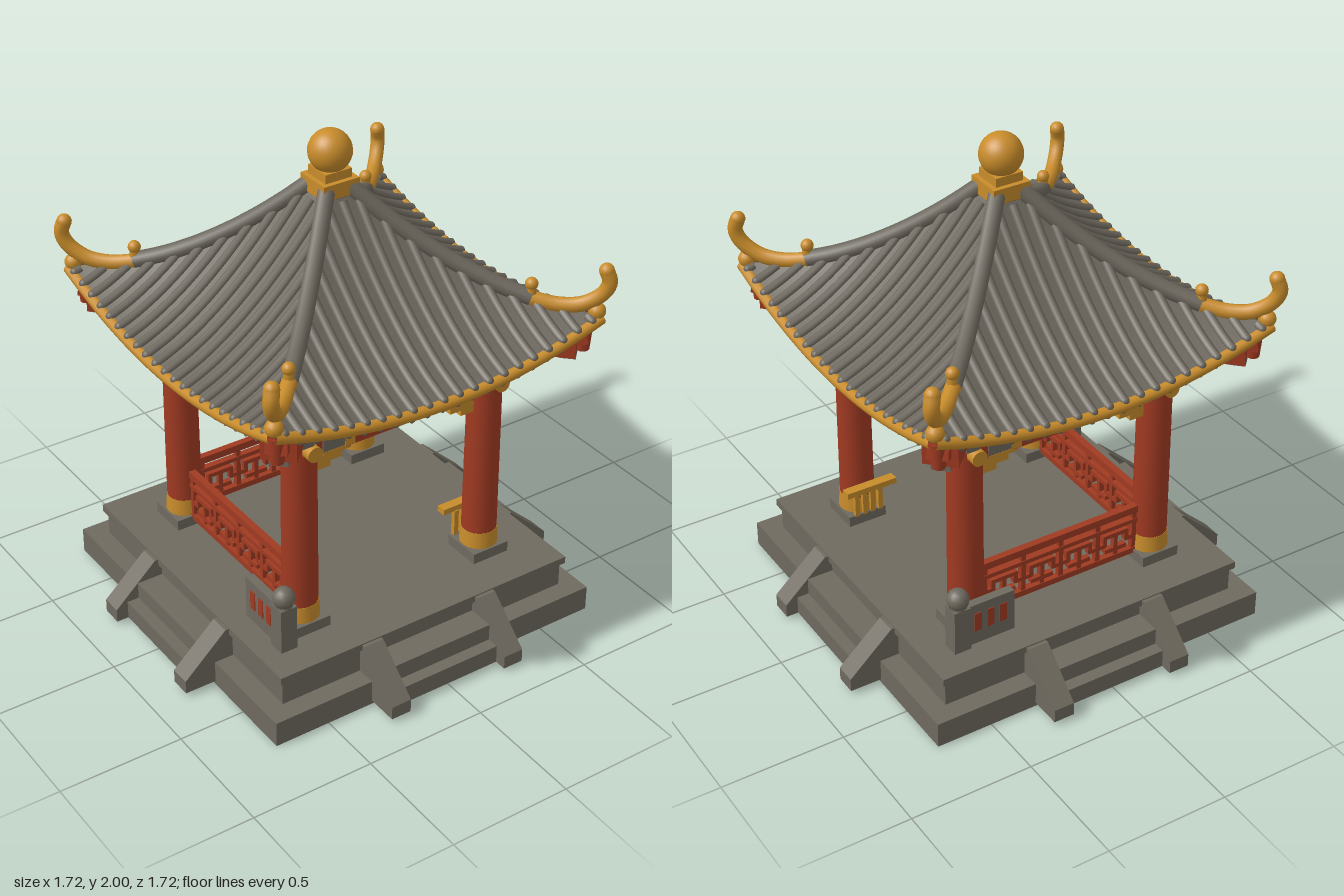
import * as THREE from 'three';

const mat = (name, color, side = THREE.FrontSide) => {
  const m = new THREE.MeshStandardMaterial({ color, side });
  m.name = name;
  return m;
};
const stone = mat('stone grey', 0x6f6a5f);
const tile = mat('roof tile grey', 0x6c675d, THREE.DoubleSide);
const red = mat('lacquer red', 0xa03a22, THREE.DoubleSide);
const gold = mat('gold', 0xc88c2b);

const add = (parent, name, geo, m, x = 0, y = 0, z = 0) => {
  const mesh = new THREE.Mesh(geo, m);
  mesh.name = name;
  mesh.position.set(x, y, z);
  parent.add(mesh);
  return mesh;
};
const box = (p, name, m, w, h, d, x, y, z) => add(p, name, new THREE.BoxGeometry(w, h, d), m, x, y, z);
const cyl = (p, name, m, r0, r1, h, x, y, z, n = 20) => add(p, name, new THREE.CylinderGeometry(r0, r1, h, n), m, x, y, z);
const ball = (p, name, m, r, x, y, z) => add(p, name, new THREE.SphereGeometry(r, 14, 10), m, x, y, z);
const tube = (p, name, m, pts, r, n = 16, sides = 8) => add(p, name,
  new THREE.TubeGeometry(new THREE.CatmullRomCurve3(pts.map(a => new THREE.Vector3(...a))), n, r, sides), m);
const group = (p, name, angle = 0) => {
  const g = new THREE.Group();
  g.name = name;
  g.rotation.y = angle;
  p.add(g);
  return g;
};

// Smooth surface from a rule (u, v) -> point
function surface(nu, nv, fn) {
  const pos = [], idx = [];
  for (let j = 0; j <= nv; j++) for (let i = 0; i <= nu; i++) pos.push(...fn(i / nu * 2 - 1, j / nv));
  for (let j = 0; j < nv; j++) for (let i = 0; i < nu; i++) {
    const a = j * (nu + 1) + i, b = a + nu + 1;
    idx.push(a, b, a + 1, a + 1, b, b + 1);
  }
  const g = new THREE.BufferGeometry();
  g.setAttribute('position', new THREE.Float32BufferAttribute(pos, 3));
  g.setIndex(idx);
  g.computeVertexNormals();
  return g;
}

// Roof heights: hip line, and the sagging face between two hips
const EAVE = 0.72, TOP = 0.07;
const hipY = d => 1.345 + 0.41 * Math.pow(Math.max(0, 1 - (d - TOP) / (EAVE - TOP)), 1.9);
const roofY = (x, d) => hipY(d) - 0.12 * (1 - (x / d) ** 2) * (d / EAVE) ** 2;

function addPlatform(root) {
  const g = group(root, 'platform');
  box(g, 'lowerPlinth', stone, 1.46, 0.105, 1.46, 0, 0.0525, 0);
  box(g, 'upperPlinth', stone, 1.3, 0.12, 1.3, 0, 0.16, 0);
  box(g, 'floorSlab', stone, 1.33, 0.03, 1.33, 0, 0.225, 0);
  const cheek = new THREE.Shape([[0.6, 0.015], [0.86, 0.015], [0.86, 0.07], [0.68, 0.235], [0.6, 0.235]].map(p => new THREE.Vector2(...p)));
  const cheekGeo = new THREE.ExtrudeGeometry(cheek, { depth: 0.085, bevelEnabled: false });
  for (let k = 0; k < 4; k++) {
    const s = group(g, 'stairs', k * Math.PI / 2);
    box(s, 'lowStep', stone, 0.46, 0.075, 0.22, 0, 0.0525, 0.7);
    box(s, 'middleStep', stone, 0.46, 0.145, 0.16, 0, 0.0875, 0.68);
    for (const x of [-0.22, 0.305]) add(s, 'stairCheek', cheekGeo, stone, x).rotation.y = -Math.PI / 2;
  }
}

function addColumn(root, x, z) {
  const g = group(root, 'column');
  g.position.set(x, 0, z);
  box(g, 'columnFoot', stone, 0.165, 0.045, 0.165, 0, 0.262, 0);
  cyl(g, 'columnBand', gold, 0.071, 0.076, 0.07, 0, 0.318, 0);
  cyl(g, 'columnShaft', red, 0.066, 0.07, 0.88, 0, 0.74, 0);
}

// Fretwork railing along the +z side
function addRailing(root, angle) {
  const g = group(root, 'railing', angle), z = 0.42, t = 0.022;
  for (const [y, h] of [[0.475, 0.03], [0.425, 0.018], [0.282, 0.025]]) box(g, 'rail', red, 0.72, h, t * 1.3, 0, y, z);
  for (let i = 0; i <= 4; i++) box(g, 'railPost', red, 0.02, 0.2, t, -0.34 + i * 0.17, 0.375, z);
  for (let i = 0; i < 4; i++) {
    const x = -0.255 + i * 0.17;
    box(g, 'fretBar', red, 0.11, 0.018, t, x, 0.388, z);
    box(g, 'fretBar', red, 0.1, 0.018, t, x, 0.32, z);
    for (const s of [-1, 1]) {
      box(g, 'fretStem', red, 0.018, 0.05, t, x + s * 0.05, 0.37, z);
      box(g, 'fretArm', red, 0.04, 0.018, t, x + s * 0.065, 0.35, z);
    }
    box(g, 'fretStem', red, 0.018, 0.1, t, x, 0.34, z);
  }
}

// Stone post with ball top and a short latticed parapet, running along local +x
function addParapet(root, x, z, angle) {
  const g = group(root, 'stoneParapet', angle);
  g.position.set(x, 0, z);
  box(g, 'parapetPost', stone, 0.07, 0.2, 0.07, 0, 0.33, 0);
  cyl(g, 'postNeck', stone, 0.035, 0.035, 0.02, 0, 0.435, 0);
  ball(g, 'postBall', stone, 0.044, 0, 0.463, 0);
  box(g, 'parapetPanel', stone, 0.21, 0.18, 0.035, 0.13, 0.33, 0);
  for (const px of [0.075, 0.13, 0.185]) box(g, 'parapetInset', red, 0.03, 0.08, 0.042, px, 0.34, 0);
}

// Beams, brackets and purlin of the +z side
function addFrame(root, angle) {
  const g = group(root, 'beamFrame', angle), z = 0.42;
  box(g, 'tieBeam', red, 0.74, 0.08, 0.07, 0, 1.02, z);
  box(g, 'beamCourse', stone, 0.74, 0.014, 0.085, 0, 1.066, z);
  box(g, 'upperBeam', red, 0.84, 0.05, 0.07, 0, 1.09, z);
  box(g, 'bracketPlate', stone, 1.0, 0.03, 0.12, 0, 1.13, z);
  box(g, 'purlin', red, 1.0, 0.06, 0.12, 0, 1.175, z);
  for (const s of [-1, 1]) {
    box(g, 'paintedBeamEnd', stone, 0.1, 0.066, 0.078, s * 0.29, 1.02, z);
    box(g, 'goldBeamBand', gold, 0.045, 0.07, 0.079, s * 0.222, 1.02, z);
    box(g, 'goldBeamEdge', gold, 0.1, 0.01, 0.08, s * 0.29, 0.986, z);
    box(g, 'cornerBracketTop', gold, 0.15, 0.03, 0.04, s * 0.28, 0.972, z);
    box(g, 'cornerBracketMiddle', gold, 0.11, 0.025, 0.04, s * 0.3, 0.946, z);
    box(g, 'cornerBracketFoot', gold, 0.06, 0.025, 0.04, s * 0.325, 0.922, z);
    box(g, 'projectingBeam', red, 0.1, 0.05, 0.05, s * 0.44, 1.05, z);
    cyl(g, 'beamCap', gold, 0.031, 0.031, 0.04, s * 0.51, 1.05, z).rotation.z = Math.PI / 2;
  }
  for (let i = -3; i <= 3; i++) {
    const x = i * 0.15;
    box(g, 'bracketBlock', stone, 0.05, 0.04, 0.14, x, 1.112, 0.46);
    box(g, 'bracketArm', stone, 0.1, 0.03, 0.04, x, 1.145, 0.52);
  }
}

// One roof slope with tile rolls, gilt eave, rafter ends and soffit
function addSlope(root, angle) {
  const g = group(root, 'roofSlope', angle);
  add(g, 'roofFace', surface(32, 24, (u, v) => {
    const d = TOP + (EAVE - TOP) * v;
    return [u * d, roofY(u * d, d), d];
  }), tile);
  add(g, 'soffit', surface(32, 6, (u, v) => {
    const d = 0.44 + (EAVE - 0.45) * v;
    return [u * d, 1.2 + (roofY(u * EAVE, EAVE) - 0.03 - 1.2) * v, d];
  }), red);
  for (let i = -10; i <= 10; i++) {
    const x = i * 0.067, d0 = Math.max(Math.abs(x) + 0.02, 0.08), pts = [];
    for (let k = 0; k <= 6; k++) {
      const d = d0 + (EAVE - d0) * k / 6;
      pts.push([x, roofY(x, d) + 0.002, d]);
    }
    tube(g, 'tileRoll', tile, pts, 0.018, 14, 8);
    const ye = roofY(x, EAVE);
    ball(g, 'rollEnd', tile, 0.018, x, ye + 0.004, EAVE - 0.005);
    if (Math.abs(i) < 10) cyl(g, 'rafterEnd', tile, 0.013, 0.013, 0.06, x, ye - 0.036, 0.685, 8).rotation.x = Math.PI / 2;
  }
  const edge = [];
  for (let k = -6; k <= 6; k++) edge.push([k / 6 * 0.715, roofY(k / 6 * EAVE, EAVE) - 0.014, EAVE - 0.003]);
  tube(g, 'eaveTrim', gold, edge, 0.022, 40, 10);
}

// Hip ridge, upturned tip and corner bracket, in the plane x = z
function addHip(root, angle) {
  const g = group(root, 'hip', angle);
  const diagonal = list => list.map(([d, y]) => [d, y, d]);
  const ridge = [];
  for (let d = 0.05; d < 0.56; d += 0.08) ridge.push([d, hipY(d) + 0.006]);
  tube(g, 'hipRidge', tile, diagonal(ridge), 0.033, 24, 10);
  const tip = [[0.52, 1.39], [0.6, 1.372], [0.665, 1.385], [0.715, 1.435], [0.73, 1.485], [0.72, 1.53]];
  tube(g, 'upturnedTip', gold, diagonal(tip), 0.029, 28, 10);
  ball(g, 'tipEnd', gold, 0.029, 0.72, 1.53, 0.72);
  cyl(g, 'ridgeKnobStem', gold, 0.018, 0.022, 0.06, 0.53, 1.42, 0.53, 10);
  ball(g, 'ridgeKnob', gold, 0.025, 0.53, 1.448, 0.53);
  ball(g, 'cornerBoss', gold, 0.034, 0.702, 1.36, 0.702);
  const b = group(g, 'cornerEaveBracket', Math.PI / 4);
  box(b, 'cornerRafter', red, 0.08, 0.08, 0.46, 0, 1.235, 0.74).rotation.x = -0.18;
  box(b, 'cornerBlock', red, 0.13, 0.1, 0.14, 0, 1.235, 0.86);
  box(b, 'cornerBlockFoot', stone, 0.07, 0.03, 0.06, 0, 1.18, 0.9);
  box(b, 'cornerArm', stone, 0.07, 0.05, 0.2, 0, 1.13, 0.66);
  box(b, 'cornerArmTip', gold, 0.05, 0.03, 0.08, 0, 1.175, 0.77);
  cyl(b, 'cornerPendant', red, 0.035, 0.025, 0.12, 0, 1.255, 0.95, 10);
}

export function createModel() {
  const root = new THREE.Group();
  root.name = 'pavilion';
  addPlatform(root);
  for (const x of [-0.42, 0.42]) for (const z of [-0.42, 0.42]) addColumn(root, x, z);

  // Railings close the back and right-hand sides
  addRailing(root, Math.PI);
  addRailing(root, -Math.PI / 2);
  addParapet(root, -0.55, 0.51, Math.PI / 2);
  addParapet(root, 0.52, -0.53, Math.PI);

  // Small gilt stand against the front column
  const stand = group(root, 'giltStand');
  box(stand, 'standTop', gold, 0.22, 0.025, 0.04, 0.41, 0.41, 0.33);
  for (let i = 0; i < 4; i++) box(stand, 'standSlat', gold, 0.02, 0.12, 0.02, 0.36 + i * 0.035, 0.34, 0.345);

  for (let k = 0; k < 4; k++) {
    const a = k * Math.PI / 2;
    addFrame(root, a);
    addSlope(root, a);
    addHip(root, a);
  }
  box(root, 'ceiling', red, 0.86, 0.03, 0.86, 0, 1.13, 0);

  // Finial
  const f = group(root, 'finial');
  box(f, 'finialBase', gold, 0.155, 0.06, 0.155, 0, 1.79, 0);
  box(f, 'finialNeck', gold, 0.115, 0.04, 0.115, 0, 1.835, 0);
  add(f, 'finialBall', new THREE.SphereGeometry(0.083, 28, 20), gold, 0, 1.917, 0);
  return root;
}
